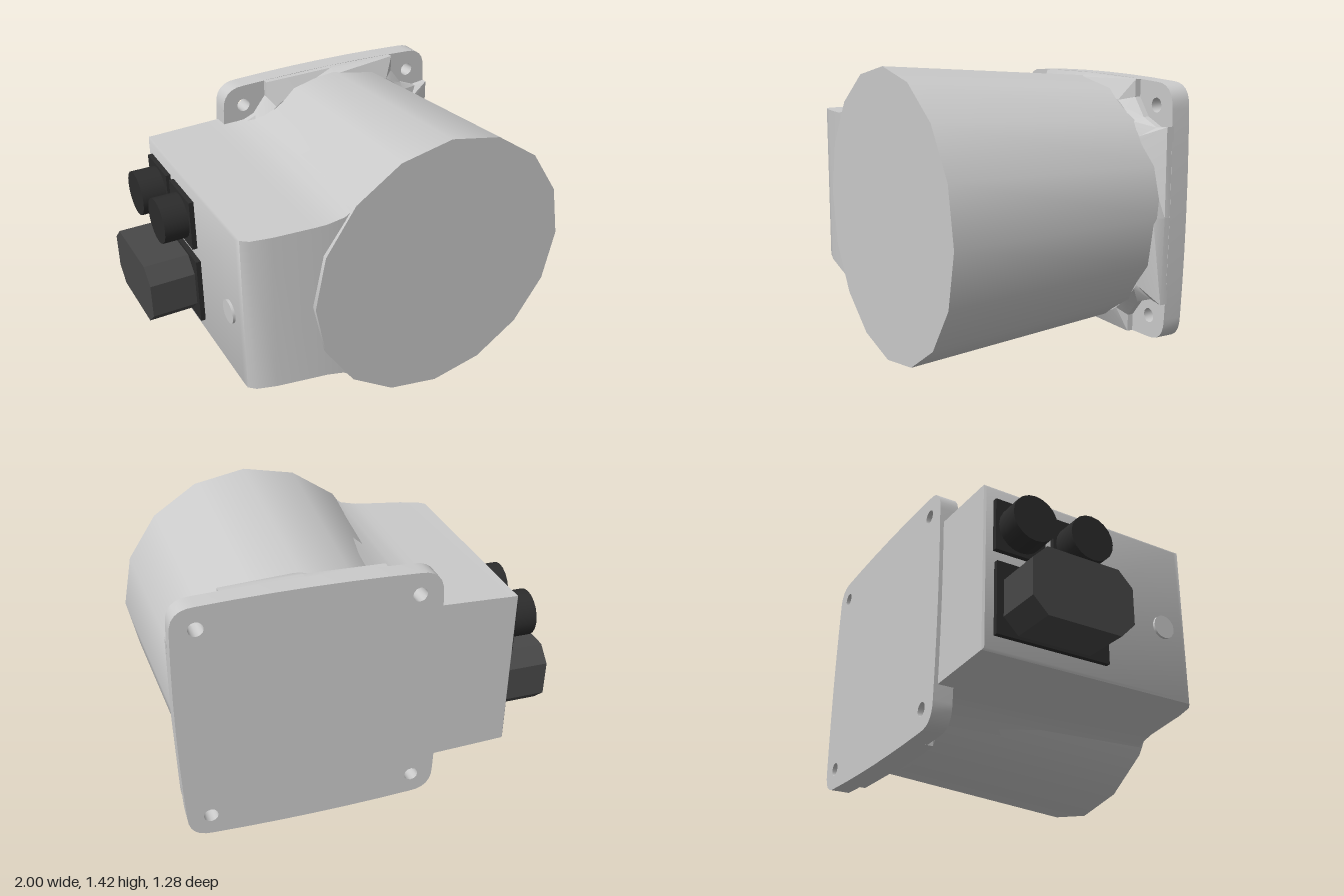
import * as THREE from 'three';
import { toCreasedNormals } from 'three/addons/utils/BufferGeometryUtils.js';

const CX = 0.29, CY = 0.71; // axis of the round housing

// Skin over rings of [x, y, z]; rings run counter-clockwise seen from the far end.
function loft(rings, crease = 0.6) {
  const n = rings[0].length, last = (rings.length - 1) * n, index = [];
  for (let i = 0; i < rings.length - 1; i++)
    for (let j = 0; j < n; j++) {
      const a = i * n + j, b = i * n + (j + 1) % n;
      index.push(a, b, b + n, a, b + n, a + n);
    }
  for (let j = 1; j < n - 1; j++) index.push(0, j + 1, j, last, last + j, last + j + 1);
  const g = new THREE.BufferGeometry();
  g.setAttribute('position', new THREE.Float32BufferAttribute(rings.flat(2), 3));
  g.setIndex(index);
  return toCreasedNormals(g, crease);
}

export function createModel() {
  const model = new THREE.Group();
  const grey = new THREE.MeshStandardMaterial({ color: 0xcccccc });
  const black = new THREE.MeshStandardMaterial({ color: 0x2c2c2c });
  const dark = new THREE.MeshStandardMaterial({ color: 0x484848 });
  const add = (name, geometry, material = grey, x = 0, y = 0, z = 0) => {
    const mesh = new THREE.Mesh(geometry, material);
    mesh.name = name;
    mesh.position.set(x, y, z);
    model.add(mesh);
    return mesh;
  };

  // Tapered round housing
  add('housing', new THREE.CylinderGeometry(0.71, 0.625, 1.19, 16).rotateX(Math.PI / 2), grey, CX, CY, 0.045);

  // Mounting plate: slightly bowed square with rounded corners and four bolt holes
  const s = new THREE.Shape(), e = 0.63, c = 0.51, bow = 0.655;
  s.moveTo(-c, -e);
  s.quadraticCurveTo(0, -bow, c, -e);
  s.quadraticCurveTo(e, -e, e, -c);
  s.quadraticCurveTo(bow, 0, e, c);
  s.quadraticCurveTo(e, e, c, e);
  s.quadraticCurveTo(0, bow, -c, e);
  s.quadraticCurveTo(-e, e, -e, c);
  s.quadraticCurveTo(-bow, 0, -e, -c);
  s.quadraticCurveTo(-e, -e, -c, -e);
  for (const sx of [-1, 1]) for (const sy of [-1, 1]) {
    const hole = new THREE.Path();
    hole.absarc(sx * 0.515, sy * 0.52, 0.036, 0, Math.PI * 2, true);
    s.holes.push(hole);
  }
  const plate = new THREE.ExtrudeGeometry(s, { depth: 0.1, bevelEnabled: false, curveSegments: 6 });
  add('mountingPlate', toCreasedNormals(plate, 0.6), grey, CX, CY, -0.64);

  // Saddle between plate and housing, notched around the bolts
  const notch = [[0.642, 0], [0.635, 0.43], [0.56, 0.42], [0.46, 0.46], [0.39, 0.55], [0.39, 0.635]];
  const outline = [];
  for (let k = 0; k < 4; k++) {
    const a = k * Math.PI / 2, flip = k % 2;
    // Mirror every other quarter so the notches stay symmetric
    const quarter = flip
      ? [[0.642, 0], ...notch.slice(1).reverse().map(([u, v]) => [v, u])]
      : notch;
    for (const [u, v] of quarter)
      outline.push([u * Math.cos(a) - v * Math.sin(a), u * Math.sin(a) + v * Math.cos(a)]);
  }
  const flat = z => outline.map(([u, v]) => [u, v, z]);
  const round = outline.map(([u, v]) => {
    const r = 0.625 / Math.hypot(u, v);
    return [u * r, v * r, -0.455];
  });
  add('plateSaddle', loft([flat(-0.55), flat(-0.51), round], 0.4), grey, CX, CY, 0);

  // Terminal box flaring into the housing: x, half height back, half height front, z back, z front
  const sections = [
    [-0.742, 0.405, 0.405, -0.61, 0.5],
    [-0.735, 0.418, 0.418, -0.62, 0.53],
    [-0.7, 0.419, 0.419, -0.62, 0.56],
    [-0.6, 0.423, 0.423, -0.62, 0.585],
    [-0.4, 0.43, 0.43, -0.62, 0.612],
    [-0.345, 0.432, 0.433, -0.62, 0.618],
    [-0.26, 0.434, 0.45, -0.55, 0.625],
    [-0.18, 0.44, 0.505, -0.55, 0.625],
    [-0.1, 0.485, 0.56, -0.55, 0.625],
    [0, 0.53, 0.6, -0.55, 0.625],
  ];
  add('terminalBox', loft(sections.map(([x, hb, hf, zb, zf]) =>
    [[x, CY - hb, zb], [x, CY + hb, zb], [x, CY + hf, zf], [x, CY - hf, zf]])));

  // Round screw plug on the box side
  add('screwPlug', new THREE.CylinderGeometry(0.06, 0.06, 0.03, 16).rotateZ(Math.PI / 2), grey, -0.74, 0.66, 0.39);

  // Two round sockets on square bases
  for (const z of [-0.44, -0.13]) {
    add('socketBase', new THREE.BoxGeometry(0.04, 0.265, 0.265), black, -0.747, 0.92, z);
    add('socket', new THREE.CylinderGeometry(0.117, 0.117, 0.15, 20).rotateZ(Math.PI / 2), black, -0.817, 0.92, z);
  }

  // Large plug: chamfered block on a thin base
  add('plugBase', new THREE.BoxGeometry(0.04, 0.36, 0.6), black, -0.747, 0.55, -0.265);
  const hz = 0.265, hy = 0.165, k = 0.075;
  const block = new THREE.Shape([
    [-hz + k, -hy], [hz - k, -hy], [hz, -hy + k], [hz, hy - k],
    [hz - k, hy], [-hz + k, hy], [-hz, hy - k], [-hz, -hy + k],
  ].map(p => new THREE.Vector2(...p)));
  const plug = new THREE.ExtrudeGeometry(block, { depth: 0.25, bevelEnabled: false });
  add('plug', plug.rotateY(-Math.PI / 2), dark, -0.75, 0.55, -0.265);

  return model;
}
